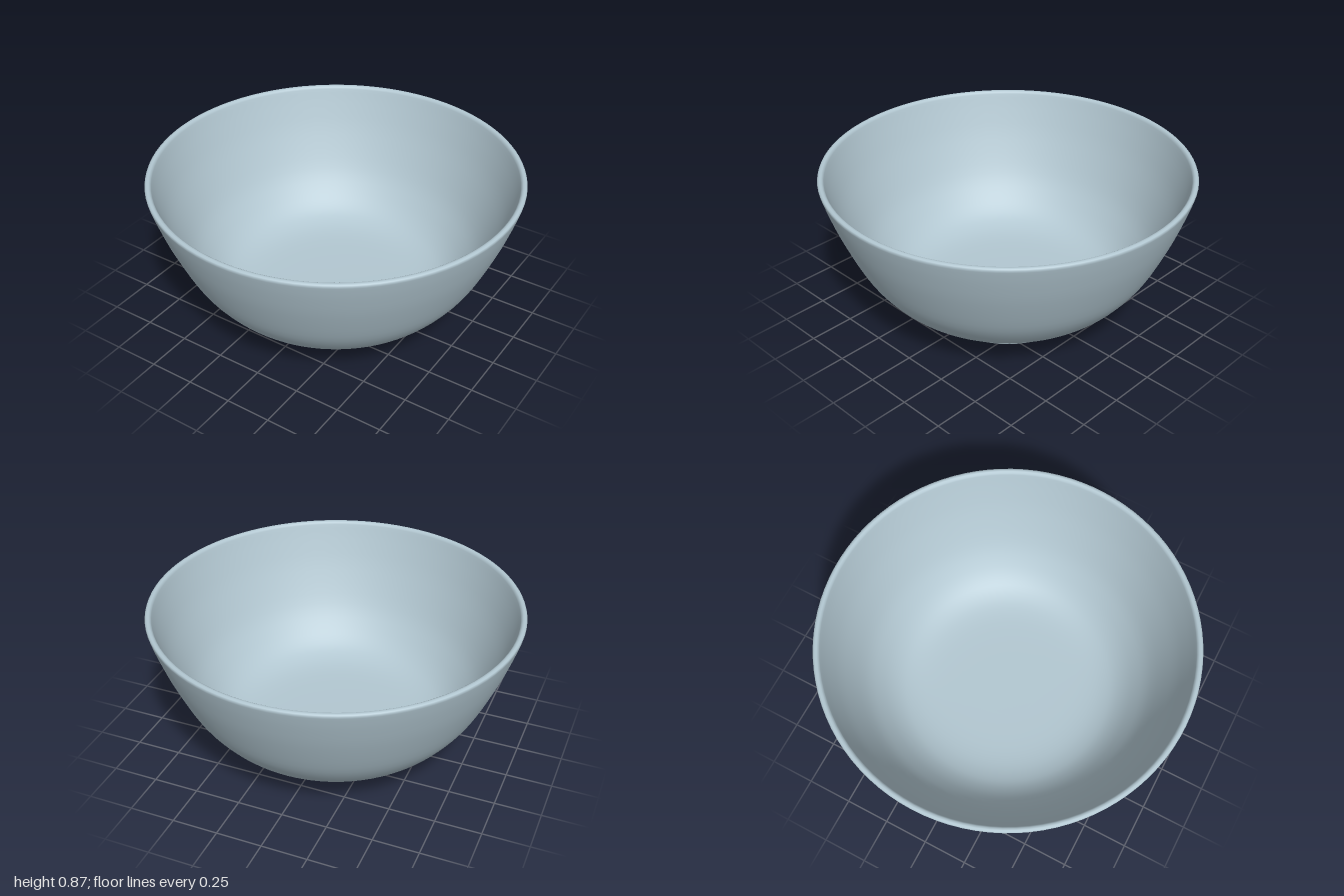
import * as THREE from 'three';

const v = (p) => new THREE.Vector2(p[0], p[1]);

// Smooth run of profile points through a few control points
const curve = (pts, n) => new THREE.SplineCurve(pts.map(v)).getPoints(n);

export function createModel() {
  const group = new THREE.Group();
  group.name = 'bowl';

  const glaze = new THREE.MeshStandardMaterial({ color: 0xb2c7d1 });
  glaze.name = 'paleBlueGlaze';

  // Cross-section from the underside, round the foot, up the wall, over the rim and down inside
  const recess = [[0, 0.09], [0.2, 0.088], [0.33, 0.082], [0.365, 0.065], [0.378, 0.03], [0.383, 0.008]];
  const foot = [[0.39, 0.001], [0.4, 0], [0.415, 0], [0.423, 0.003], [0.425, 0.012], [0.419, 0.06], [0.417, 0.09], [0.424, 0.098]];
  const outerWall = [[0.44, 0.103], [0.52, 0.118], [0.6, 0.152], [0.67, 0.2], [0.745, 0.28], [0.825, 0.4],
    [0.915, 0.6], [0.97, 0.752], [0.998, 0.845]];
  const rim = [[1, 0.855], [0.997, 0.863], [0.988, 0.867], [0.978, 0.866], [0.97, 0.86]];
  const innerWall = [[0.966, 0.85], [0.935, 0.752], [0.88, 0.6], [0.79, 0.405], [0.71, 0.29], [0.635, 0.215],
    [0.56, 0.172], [0.46, 0.147], [0.3, 0.138], [0, 0.136]];

  const profile = [
    ...recess.map(v),
    ...foot.map(v),
    ...curve(outerWall, 28),
    ...rim.map(v),
    ...curve(innerWall, 30),
  ];
  profile[profile.length - 1].x = 0;

  const bowl = new THREE.Mesh(new THREE.LatheGeometry(profile, 96), glaze);
  bowl.name = 'bowlBody';
  group.add(bowl);

  return group;
}
